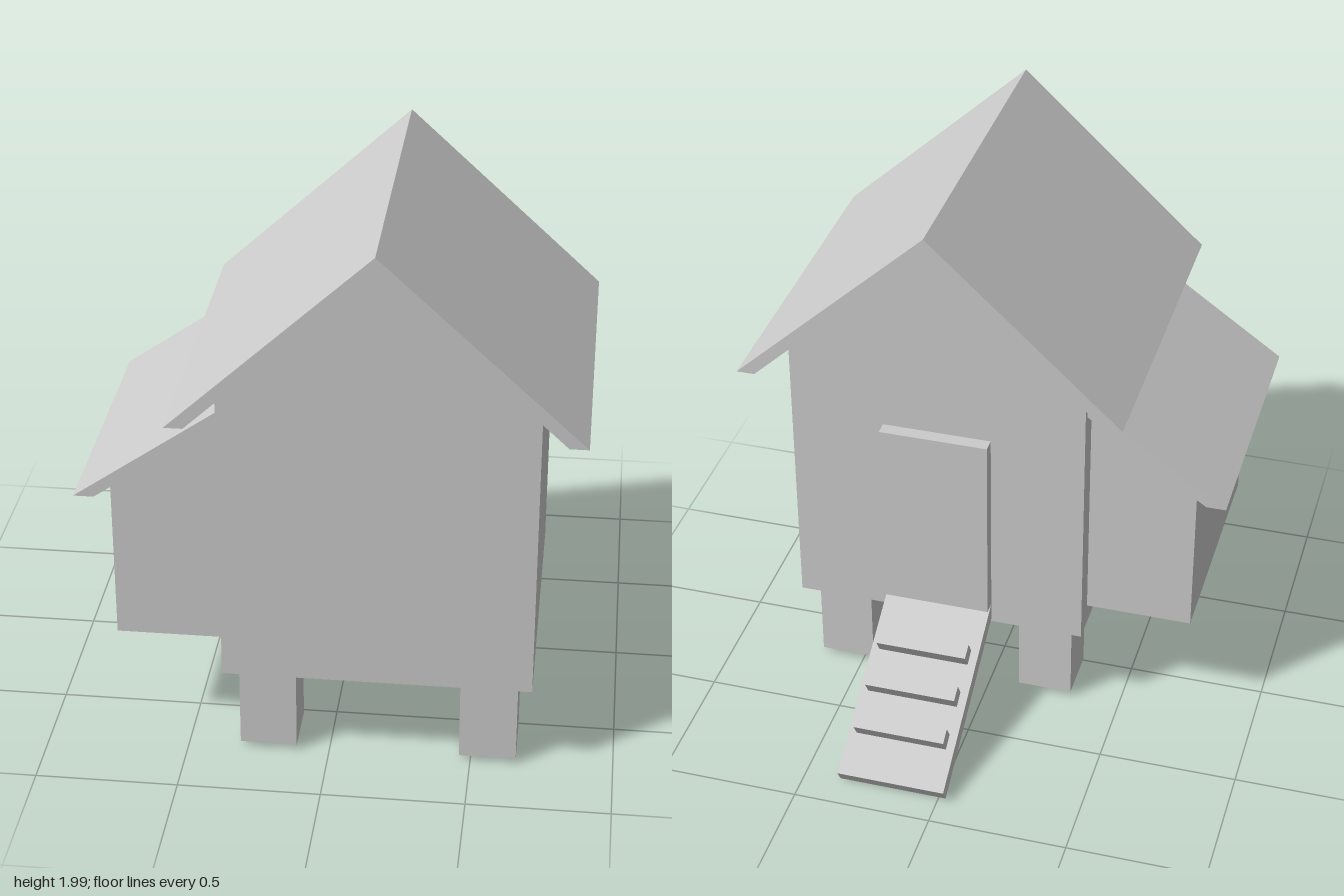
import * as THREE from 'three';

const material = new THREE.MeshStandardMaterial({ color: 0xcccccc, flatShading: true });
const openMaterial = new THREE.MeshStandardMaterial({
  color: 0xcccccc, flatShading: true, side: THREE.DoubleSide,
});

export function createModel() {
  const model = new THREE.Group();
  model.name = 'raisedHenHouse';

  function add(name, geometry, [x, y, z], parent = model, mat = material) {
    const mesh = new THREE.Mesh(geometry, mat);
    mesh.name = name;
    mesh.position.set(x, y, z);
    parent.add(mesh);
    return mesh;
  }

  // Front outline in x, y carried from z0 to z1
  function addProfile(name, points, z0, z1) {
    const shape = new THREE.Shape(points.map(([x, y]) => new THREE.Vector2(x, y)));
    const geometry = new THREE.ExtrudeGeometry(shape, { depth: z1 - z0, bevelEnabled: false });
    return add(name, geometry, [0, 0, z0]);
  }

  const midX = 0.172;

  // Gabled main house
  addProfile('house', [
    [-0.365, 0.35], [0.71, 0.35], [0.71, 1.435], [midX, 1.94], [-0.365, 1.435],
  ], -0.275, 0.805);

  // Main roof: two slopes with level-cut eaves
  addProfile('mainRoof', [
    [-0.52, 1.36], [-0.455, 1.36], [midX, 1.945], [0.8, 1.36], [0.865, 1.36], [midX, 2],
  ], -0.385, 0.905);

  // Nesting box on the side, with its lean-to roof
  addProfile('nestBox', [
    [-0.75, 0.43], [-0.365, 0.43], [-0.365, 1.3], [-0.75, 1.025],
  ], -0.19, 0.7);
  addProfile('nestBoxRoof', [
    [-0.865, 1.005], [-0.795, 1.005], [-0.365, 1.303], [-0.365, 1.355],
  ], -0.25, 0.765);

  // Square hollow legs, open underneath
  const legGeometry = new THREE.CylinderGeometry(0.1 * Math.SQRT2, 0.1 * Math.SQRT2, 0.325, 4, 1, true)
    .rotateY(Math.PI / 4);
  for (const x of [-0.215, 0.56]) {
    for (const z of [-0.115, 0.645]) {
      add('leg', legGeometry, [x, 0.1875, z], model, openMaterial);
    }
  }

  // Door on the back wall
  add('door', new THREE.BoxGeometry(0.395, 0.725, 0.05), [midX, 0.7925, -0.3]);

  // Ramp hinged at the door sill, with three cleats
  const ramp = new THREE.Group();
  ramp.name = 'ramp';
  ramp.position.set(midX, 0.43, -0.275);
  ramp.rotation.x = -Math.atan2(0.375, 0.63);
  model.add(ramp);
  add('rampBoard', new THREE.BoxGeometry(0.395, 0.058, 0.733), [0, -0.029, -0.3665], ramp);
  const cleatGeometry = new THREE.BoxGeometry(0.335, 0.062, 0.056);
  for (let i = 0; i < 3; i++) {
    add('cleat', cleatGeometry, [0, 0.031, -0.218 - i * 0.163], ramp);
  }

  return model;
}
